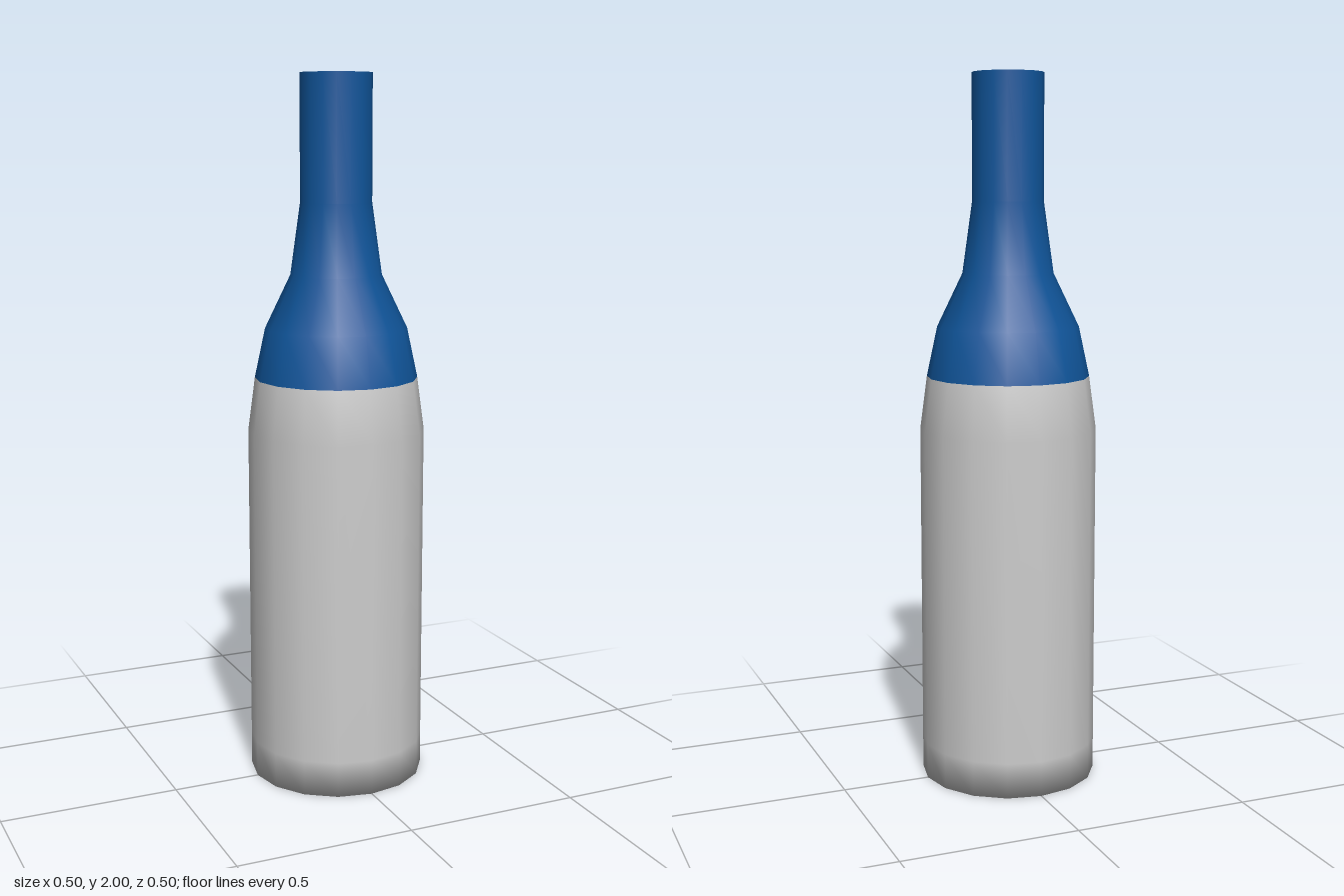
import * as THREE from 'three';

export function createModel() {
  const bottle = new THREE.Group();
  bottle.name = 'bottle';
  const blue = new THREE.MeshStandardMaterial({ color: 0x10569c, side: THREE.DoubleSide });
  blue.name = 'blue glass';
  const grey = new THREE.MeshStandardMaterial({ color: 0xcccccc, side: THREE.DoubleSide });
  grey.name = 'pale grey';

  // Profile from the centre of the base up to the open mouth
  const profile = [
    [0, 0], [0.25, 0], [0.25, 0.1], [0.25, 1.01], [0.23, 1.16],
    [0.2, 1.3], [0.128, 1.45], [0.1, 1.65], [0.1, 2],
  ].map(([r, y]) => new THREE.Vector2(r, y));
  const sides = 16;
  const lathe = new THREE.LatheGeometry(profile, sides);

  // Cuts a band of the lathe between two profile points, keeping its smooth normals
  function addBand(name, from, to, material) {
    const index = [];
    const n = profile.length;
    for (let i = 0; i < sides; i++) {
      for (let j = from; j < to; j++) {
        const a = i * n + j, b = a + n;
        if (j > 0) index.push(a, b, a + 1);
        index.push(b + 1, a + 1, b);
      }
    }
    const geometry = lathe.clone();
    geometry.setIndex(index);
    const mesh = new THREE.Mesh(geometry.toNonIndexed(), material);
    mesh.name = name;
    bottle.add(mesh);
  }

  addBand('base', 0, 1, blue);
  addBand('body', 1, 4, grey);
  addBand('shoulder', 4, 7, blue);
  addBand('neck', 7, 8, blue);
  return bottle;
}
